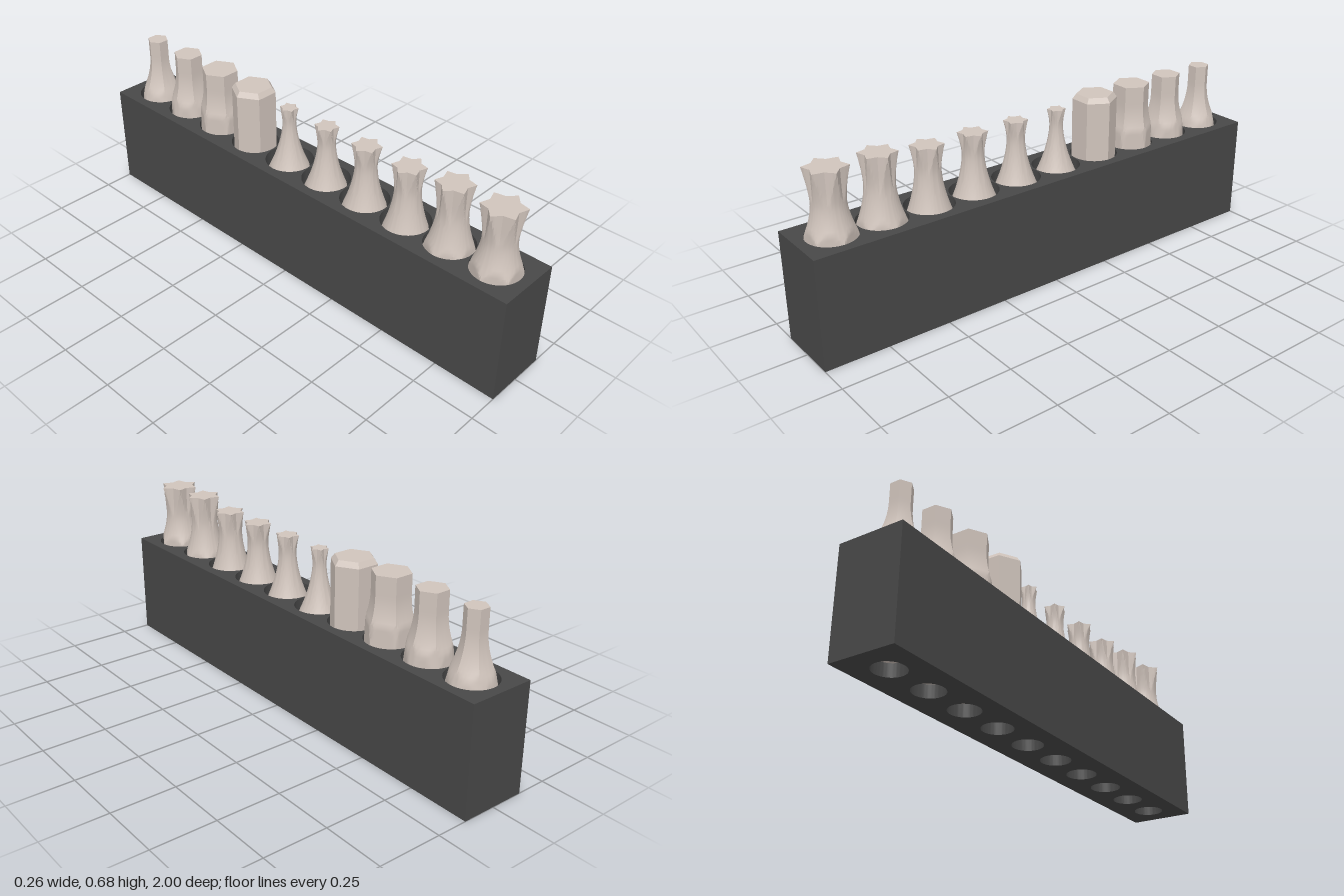
import * as THREE from 'three';
import { toCreasedNormals } from 'three/addons/utils/BufferGeometryUtils.js';

const HALF_W = 0.131, BLOCK_H = 0.425, FLOOR = 0.05, SEG = 72, PITCH = 0.193;
const slotZ = (i) => 0.868 - PITCH * i;

// Slab of the block between two heights, with a row of round holes
function slab(y0, y1, holeR) {
  const s = new THREE.Shape();
  s.moveTo(-HALF_W, -1).lineTo(HALF_W, -1).lineTo(HALF_W, 1).lineTo(-HALF_W, 1).closePath();
  for (let i = 0; i < 10; i++) {
    s.holes.push(new THREE.Path().absarc(0, -slotZ(i), holeR, 0, Math.PI * 2, true));
  }
  const g = new THREE.ExtrudeGeometry(s, { depth: y1 - y0, bevelEnabled: false, curveSegments: 32 });
  g.rotateX(-Math.PI / 2).translate(0, y0, 0);
  return toCreasedNormals(g, 0.6);
}

// Radius of a six-fold outline: corners at R, with `inner` at the half-way angle
function outline(a, R, inner) {
  const step = Math.PI / 3;
  let t = ((a % step) + step) % step;
  if (t > step / 2) t = step - t;
  const vx = inner * Math.cos(step / 2), vy = inner * Math.sin(step / 2);
  return (R * vy) / (Math.sin(t) * (R - vx) + Math.cos(t) * vy);
}

// Bit: hexagonal shank cut by a turned neck, then by the flutes or flats of the tip
function bitGeometry({ top, tip, waist, waistY, base, ratio, power }) {
  const hexR = 0.093;
  const radius = (a, y) => {
    const turned = y < waistY
      ? waist + (base - waist) * Math.pow((waistY - y) / (waistY - BLOCK_H), power)
      : waist + (tip - waist) * Math.pow((y - waistY) / Math.max(top - waistY, 1e-4), power);
    const fade = 0.05 * Math.pow(Math.max(0, 0.6 - y) / 0.175, 2);
    return Math.min(
      turned,
      outline(a, hexR, hexR * Math.cos(Math.PI / 6)),
      outline(a, tip, tip * ratio) + fade
    );
  };
  const heights = [FLOOR, 0.3, 0.36];
  for (let j = 0; j <= 20; j++) heights.push(0.4 + (top - 0.4) * j / 20);
  const pos = [], idx = [], n = heights.length;
  for (const y of heights) {
    for (let i = 0; i < SEG; i++) {
      const a = (i / SEG) * Math.PI * 2, r = radius(a, y);
      pos.push(r * Math.cos(a), y, r * Math.sin(a));
    }
  }
  const low = n * SEG, high = low + 1, last = (n - 1) * SEG;
  pos.push(0, FLOOR, 0, 0, top, 0);
  for (let i = 0; i < SEG; i++) {
    const k = (i + 1) % SEG;
    for (let j = 0; j < n - 1; j++) {
      const p = j * SEG, q = p + SEG;
      idx.push(p + i, q + i, p + k, p + k, q + i, q + k);
    }
    idx.push(high, last + k, last + i, low, i, k);
  }
  const g = new THREE.BufferGeometry();
  g.setAttribute('position', new THREE.Float32BufferAttribute(pos, 3));
  g.setIndex(idx);
  return toCreasedNormals(g, 0.4);
}

// Plain hexagonal bit with a chamfered end
function plainHexGeometry() {
  const pts = [[0, FLOOR], [0.088, FLOOR], [0.088, 0.655], [0.073, 0.675], [0, 0.675]]
    .map(([x, y]) => new THREE.Vector2(x, y));
  return toCreasedNormals(new THREE.LatheGeometry(pts, 6, Math.PI / 2), 0.3);
}

export function createModel() {
  const model = new THREE.Group();
  model.name = 'bitHolderWithBits';
  const plastic = new THREE.MeshStandardMaterial({ name: 'dark grey plastic', color: 0x484848 });
  const steel = new THREE.MeshStandardMaterial({ name: 'warm grey steel', color: 0xd0c4bc });
  const add = (name, geometry, material, z = 0) => {
    const m = new THREE.Mesh(geometry, material);
    m.name = name;
    m.position.z = z;
    model.add(m);
  };

  // Holder block: wide sockets above, narrow push-out holes below
  add('holderBase', slab(0, FLOOR, 0.06), plastic);
  add('holderBlock', slab(FLOOR, BLOCK_H, 0.094), plastic);

  // Star bits, largest at the front: top, tip radius, waist radius, waist height, base radius
  const stars = [
    [0.675, 0.08, 0.0605, 0.55, 0.093],
    [0.675, 0.071, 0.055, 0.56, 0.084],
    [0.653, 0.063, 0.048, 0.56, 0.073],
    [0.653, 0.057, 0.041, 0.57, 0.071],
    [0.653, 0.047, 0.034, 0.58, 0.068],
    [0.653, 0.036, 0.026, 0.59, 0.065],
  ];
  stars.forEach(([top, tip, waist, waistY, base], i) =>
    add('starBit' + (i + 1), bitGeometry({ top, tip, waist, waistY, base, ratio: 0.7, power: 1.7 }), steel, slotZ(i)));

  add('plainHexBit', plainHexGeometry(), steel, slotZ(6));

  // Tapered hex bits: tip radius, base radius, taper power
  const hexes = [[0.073, 0.092, 0.9], [0.058, 0.084, 1], [0.042, 0.08, 1.4]];
  hexes.forEach(([tip, base, power], i) =>
    add('hexBit' + (i + 1), bitGeometry({
      top: 0.675, tip, waist: tip, waistY: 0.675, base, ratio: Math.cos(Math.PI / 6), power,
    }), steel, slotZ(7 + i)));

  return model;
}
